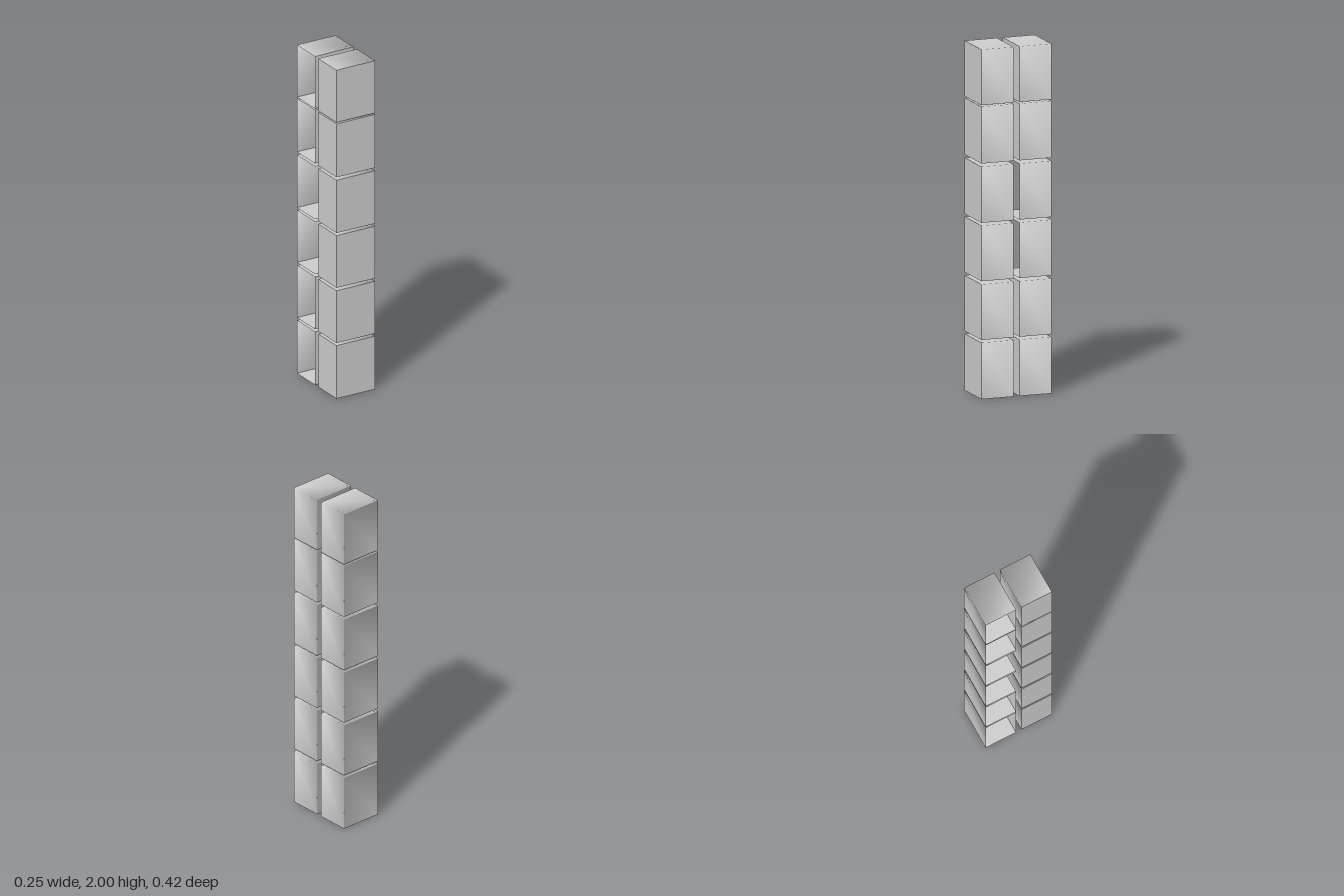
import * as THREE from 'three';

const material = new THREE.MeshStandardMaterial({ color: 0xcccccc, side: THREE.DoubleSide });

// Corner index bits: 1 = +x, 2 = +y, 4 = +z.
// The back is wound inward, so the shell's soft shading leans to the front.
const FACES = {
  right: [7, 5, 1, 3],
  top: [7, 3, 2, 6],
  back: [3, 2, 0, 1],
  front: [4, 5, 7, 6],
  bottom: [0, 1, 5, 4],
  side: [0, 4, 6, 2],
};

// Thin sheet made of the named faces of a box; shared corners give smooth normals
function sheet(name, min, max, faces, smooth) {
  const positions = [];
  for (let i = 0; i < 8; i++) {
    positions.push(i & 1 ? max[0] : min[0], i & 2 ? max[1] : min[1], i & 4 ? max[2] : min[2]);
  }
  const index = faces.flatMap((f) => {
    const [a, b, c, d] = FACES[f];
    return [a, b, c, a, c, d];
  });
  let geometry = new THREE.BufferGeometry();
  geometry.setAttribute('position', new THREE.Float32BufferAttribute(positions, 3));
  geometry.setIndex(index);
  geometry = smooth ? geometry : geometry.toNonIndexed();
  geometry.computeVertexNormals();
  const mesh = new THREE.Mesh(geometry, material);
  mesh.name = name;
  return mesh;
}

export function createModel() {
  const model = new THREE.Group();
  model.name = 'stackedBoxes';
  const halfWidth = 0.127;
  const rows = [[0, 0.323], [0.339, 0.657], [0.675, 0.993], [1.009, 1.33], [1.348, 1.673], [1.682, 2]];
  const columns = [
    { name: 'frontBox', z: [0.017, 0.21] },
    { name: 'backBox', z: [-0.21, -0.018] },
  ];

  for (const { name, z } of columns) {
    rows.forEach(([y0, y1], row) => {
      const box = new THREE.Group();
      box.name = `${name}${row + 1}`;
      const min = [-halfWidth, y0, z[0]];
      const max = [halfWidth, y1, z[1]];
      // Softly shaded outer shell
      box.add(sheet('shell', min, max, ['right', 'top', 'back'], true));
      // Flat panels: back boxes are open at the side, the middle two also at the front
      const panels = ['bottom'];
      if (name === 'frontBox') panels.push('front', 'side');
      else if (row !== 2 && row !== 3) panels.push('front');
      for (const p of panels) box.add(sheet(`${p}Panel`, min, max, [p], false));
      model.add(box);
    });
  }
  return model;
}
